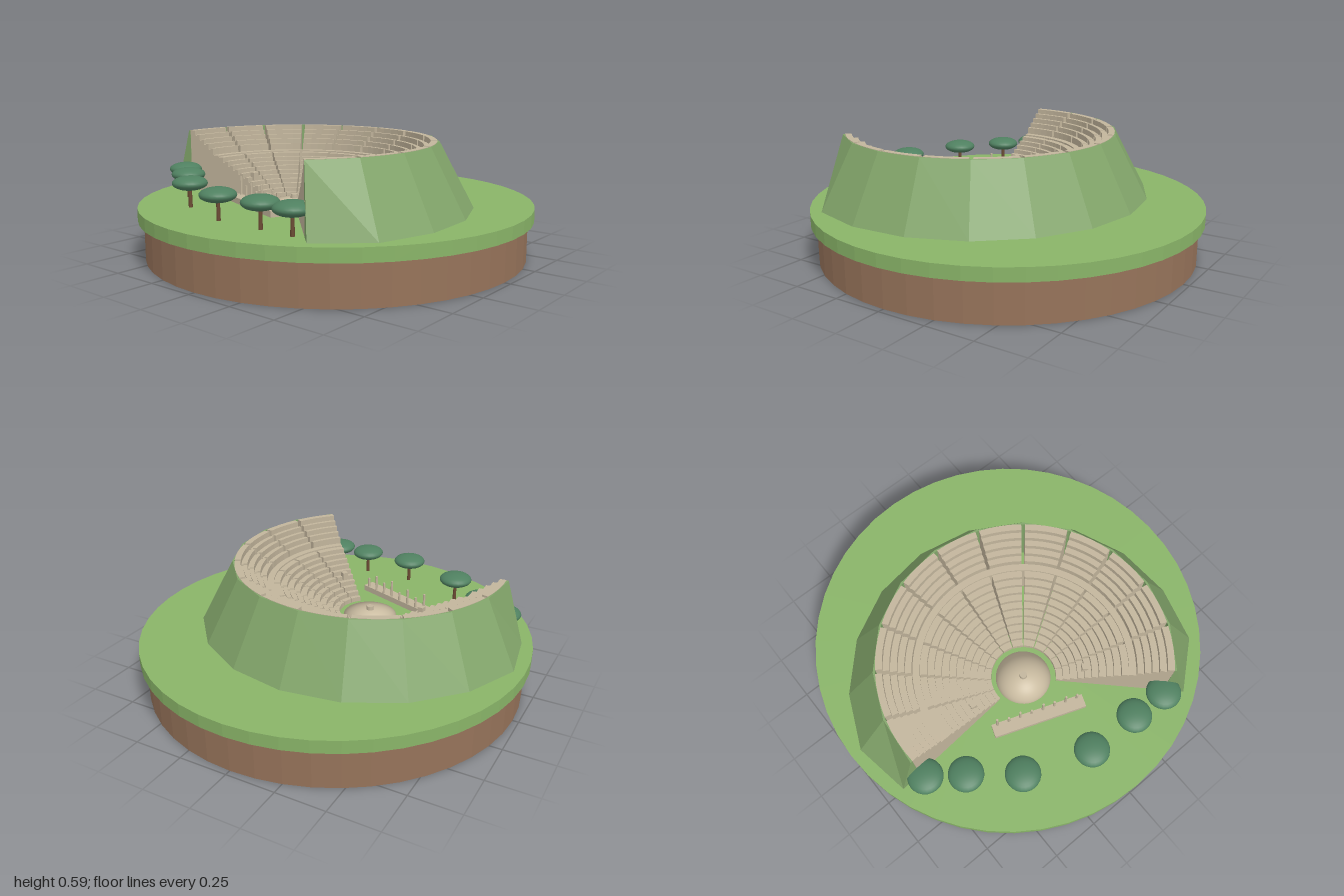
import * as THREE from 'three';

const material = (name, color, flat = false) => {
  const m = new THREE.MeshStandardMaterial({ color, flatShading: flat });
  m.name = name;
  return m;
};

const DEG = Math.PI / 180;
const GROUND = 0.265;                       // top of the grass disc
const CX = -0.085, CZ = 0.23;               // centre of the theatre
const START = 175.5 * DEG, WEDGES = 12;     // the seating fans out from START
const STEP = (229 * DEG) / WEDGES;
const GAP = 0.8 * DEG;                      // half the width of a stair gap

// Sweeps a closed (radius, height) cross-section round the theatre centre.
// profileAt(i, n) gives the counter-clockwise outline at section i of n.
function sweep(profileAt, from, to, n) {
  const pos = [];
  const point = (p, a) => [p.x * Math.cos(a), p.y, p.x * Math.sin(a)];
  const tri = (...pts) => pts.forEach((p) => pos.push(...p));
  const angle = (i) => from + ((to - from) * i) / n;
  for (let i = 0; i < n; i++) {
    const P = profileAt(i, n), Q = profileAt(i + 1, n);
    const a = angle(i), b = angle(i + 1);
    for (let j = 0; j < P.length; j++) {
      const k = (j + 1) % P.length;
      const A = point(P[j], a), B = point(P[k], a), C = point(Q[k], b), D = point(Q[j], b);
      tri(A, B, C);
      tri(A, C, D);
    }
  }
  // end walls
  for (const [i, a] of [[0, from], [n, to]]) {
    const P = profileAt(i, n);
    for (const [u, v, w] of THREE.ShapeUtils.triangulateShape(P, [])) {
      const t = [P[u], P[v], P[w]].map((p) => point(p, a));
      if ((THREE.ShapeUtils.area([P[u], P[v], P[w]]) > 0) !== (i === n)) t.reverse();
      tri(...t);
    }
  }
  const g = new THREE.BufferGeometry();
  g.setAttribute('position', new THREE.Float32BufferAttribute(pos, 3));
  g.computeVertexNormals();
  return g;
}

// Stepped outline of a tier: each row is a seat with a slightly lower foot strip behind
function tierProfile(r0, r1, y0, y1, rows) {
  const pts = [[r0, GROUND], [r1, GROUND]];
  const d = (r1 - r0) / rows;
  for (let i = rows - 1; i >= 0; i--) {
    const y = y0 + ((y1 - y0) * i) / (rows - 1), r = r0 + i * d;
    if (i === rows - 1) pts.push([r + d, y]);
    else pts.push([r + d, y - 0.006], [r + d * 0.6, y - 0.006], [r + d * 0.6, y]);
    pts.push([r, y]);
  }
  return pts.map(([x, y]) => new THREE.Vector2(x, y));
}

export function createModel() {
  const model = new THREE.Group();
  const earth = material('earth brown', 0x96735a, true);
  const grass = material('grass green', 0x89b468, true);
  const slope = material('hillside green', 0x82a56a, true);
  const stone = material('pale stone', 0xc2b59c, true);
  const floor = material('orchestra stone', 0xcbbda2);
  const leaf = material('leaf green', 0x4f8060);
  const bark = material('bark brown', 0x6b4a33);

  const add = (name, geometry, mat, x = 0, y = 0, z = 0, parent = model) => {
    const m = new THREE.Mesh(geometry, mat);
    m.name = name;
    m.position.set(x, y, z);
    parent.add(m);
    return m;
  };

  // round base
  add('earthBase', new THREE.CylinderGeometry(0.97, 0.97, 0.2, 48), earth, 0, 0.1, 0);
  add('grassDisc', new THREE.CylinderGeometry(1, 1, GROUND - 0.2, 48), grass, 0, (GROUND + 0.2) / 2, 0);

  const theatre = new THREE.Group();
  theatre.name = 'theatre';
  theatre.position.set(CX, 0, CZ);
  model.add(theatre);
  const END = START + STEP * WEDGES;

  // sloping hill behind the seats, narrower at both ends
  const hillProfile = (i, n) => {
    const foot = i === 0 || i === n ? 0.815 : 0.89;
    return [[0.708, GROUND], [foot, GROUND], [0.718, 0.588], [0.708, 0.588]]
      .map(([x, y]) => new THREE.Vector2(x, y));
  };
  add('hill', sweep(hillProfile, START, END, WEDGES), slope, 0, 0, 0, theatre);

  // two tiers of seats, cut into wedges by the stair gaps
  const lower = tierProfile(0.165, 0.51, 0.29, 0.457, 10);
  const upper = tierProfile(0.545, 0.707, 0.5, 0.59, 5);
  for (let w = 0; w < WEDGES; w++) {
    const a = START + w * STEP + (w > 0 ? GAP : 0);
    const b = START + (w + 1) * STEP - (w < WEDGES - 1 ? GAP : 0);
    add('lowerSeats', sweep(() => lower, a, b, 4), stone, 0, 0, 0, theatre);
    add('upperSeats', sweep(() => upper, a, b, 4), stone, 0, 0, 0, theatre);
  }

  // walkway between the tiers
  const walk = [[0.51, GROUND], [0.545, GROUND], [0.545, 0.465], [0.51, 0.465]]
    .map(([x, y]) => new THREE.Vector2(x, y));
  add('walkway', sweep(() => walk, START, END, WEDGES * 4), stone, 0, 0, 0, theatre);

  // small blocks on the seats near each end
  for (const side of [-1, 1]) {
    const a = (290 + side * 105) * DEG;
    const block = add('seatBlock', new THREE.BoxGeometry(0.03, 0.04, 0.03), stone,
      0.305 * Math.cos(a), 0.368, 0.305 * Math.sin(a), theatre);
    block.rotation.y = -a;
  }

  // softly domed orchestra floor with an altar; rounded normals are kept
  const dome = new THREE.SphereGeometry(0.14, 40, 12, 0, Math.PI * 2, 0, Math.PI / 2);
  const p = dome.attributes.position;
  for (let i = 0; i < p.count; i++) p.setY(i, p.getY(i) * 0.2);
  add('orchestra', dome, floor, 0, GROUND, -0.003, theatre);
  add('altar', new THREE.CylinderGeometry(0.018, 0.02, 0.03, 16), stone, 0, 0.298, -0.003, theatre);

  // stage with a row of broken columns
  const stage = new THREE.Group();
  stage.name = 'stage';
  stage.position.set(-0.157, GROUND, 0.436);
  stage.rotation.y = -20 * DEG;
  model.add(stage);
  add('stagePlatform', new THREE.BoxGeometry(0.48, 0.03, 0.065), stone, 0, 0.015, 0, stage);
  [0.095, 0.055, 0.08, 0.045, 0.09, 0.06, 0.08, 0.05].forEach((h, i) => {
    add('column', new THREE.CylinderGeometry(0.006, 0.007, h, 8), stone,
      -0.21 + i * 0.06, 0.03 + h / 2, -0.024, stage);
  });

  // flat-crowned trees along the open side
  const crown = new THREE.SphereGeometry(0.087, 24, 14).scale(1, 0.41, 1);
  const trunk = new THREE.CylinderGeometry(0.008, 0.01, 0.11, 8);
  const spots = [[-0.78, 0.335], [-0.625, 0.45], [-0.415, 0.62], [-0.085, 0.74], [0.185, 0.745], [0.375, 0.75]];
  for (const [x, z] of spots) {
    const tree = new THREE.Group();
    tree.name = 'tree';
    tree.position.set(x, GROUND, z);
    model.add(tree);
    add('trunk', trunk, bark, 0, 0.055, 0, tree);
    add('crown', crown, leaf, 0, 0.12, 0, tree);
  }
  return model;
}
